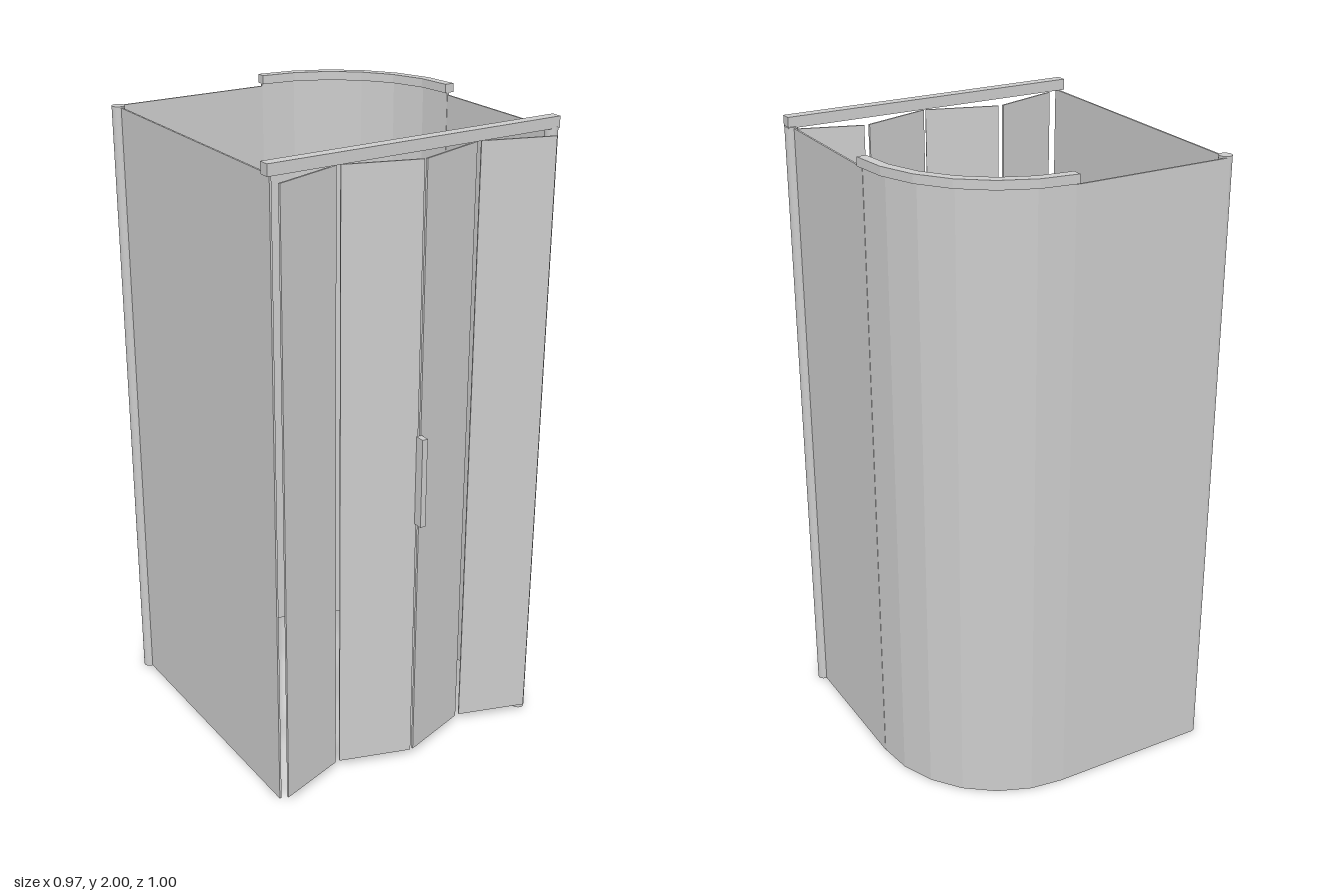
import * as THREE from 'three';

const PANEL_H = 1.966;   // height of the fixed walls
const SHEET = 0.006;     // wall and door thickness

export function createModel() {
  const group = new THREE.Group();
  const mat = new THREE.MeshStandardMaterial({ color: 0xcccccc });
  const flat = new THREE.MeshStandardMaterial({ color: 0xcccccc, flatShading: true });

  const add = (name, geo, material = mat) => {
    const mesh = new THREE.Mesh(geo, material);
    mesh.name = name;
    group.add(mesh);
    return mesh;
  };
  const box = (name, x0, x1, y0, y1, z0, z1) =>
    add(name, new THREE.BoxGeometry(x1 - x0, y1 - y0, z1 - z0))
      .position.set((x0 + x1) / 2, (y0 + y1) / 2, (z0 + z1) / 2);

  // upright sheet between two plan points [x, z]
  const sheet = (name, [xa, za], [xb, zb], y0, y1) => {
    const mesh = add(name, new THREE.BoxGeometry(Math.hypot(xb - xa, zb - za), y1 - y0, SHEET));
    mesh.position.set((xa + xb) / 2, (y0 + y1) / 2, (za + zb) / 2);
    mesh.rotation.y = -Math.atan2(zb - za, xb - xa);
  };

  // faceted quarter ring around the rounded back corner
  const quarterRing = (name, rIn, rOut, y0, y1) => {
    const n = 6, pts = [];
    const at = (r, i) => {
      const a = (i / n) * Math.PI / 2;
      return new THREE.Vector2(0.04 + r * Math.cos(a), 0.06 + r * Math.sin(a));
    };
    for (let i = 0; i <= n; i++) pts.push(at(rOut, i));
    for (let i = n; i >= 0; i--) pts.push(at(rIn, i));
    const geo = new THREE.ExtrudeGeometry(new THREE.Shape(pts), { depth: y1 - y0, bevelEnabled: false });
    geo.rotateX(-Math.PI / 2).translate(0, y0, 0);
    add(name, geo, flat);
  };

  // fixed walls
  sheet('backWall', [-0.465, -0.479], [0.04, -0.479], 0, PANEL_H);
  sheet('rightWall', [-0.463, -0.46], [-0.463, 0.43], 0, PANEL_H);
  sheet('leftWall', [0.461, -0.06], [0.461, 0.43], 0, PANEL_H);
  quarterRing('curvedWall', 0.417, 0.423, 0, 1.975);
  quarterRing('curvedTopRail', 0.41, 0.44, 1.973, 2);

  // corner posts
  for (const [name, x, z] of [['backPost', -0.466, -0.462], ['frontPost', 0.465, 0.428]]) {
    add(name, new THREE.CylinderGeometry(0.02, 0.02, PANEL_H + 0.004, 24))
      .position.set(x, (PANEL_H + 0.004) / 2, z);
  }

  // front top rail
  box('frontTopRail', -0.482, 0.48, 1.966, 2, 0.413, 0.447);

  // folding door leaves, mirrored about the middle
  for (const s of [-1, 1]) {
    sheet('outerDoorLeaf', [s * 0.457, 0.464], [s * 0.242, 0.394], 0.025, 1.95);
    sheet('innerDoorLeaf', [s * 0.226, 0.394], [s * 0.004, 0.466], 0.025, 1.95);
  }

  // door handle
  box('doorHandle', -0.009, 0.009, 0.842, 1.128, 0.466, 0.498);

  return group;
}
